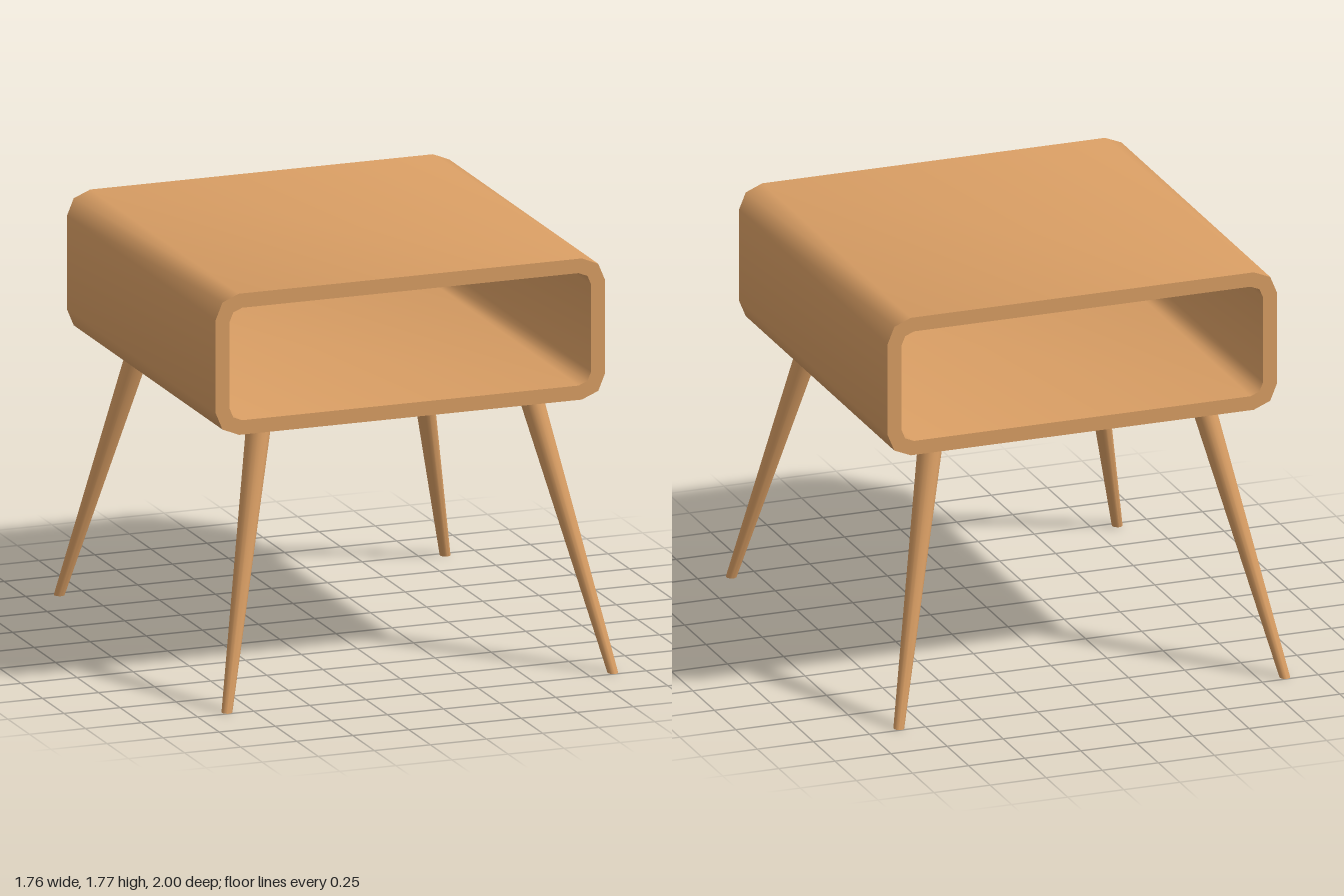
import * as THREE from 'three';
import { toCreasedNormals } from 'three/addons/utils/BufferGeometryUtils.js';

// Rectangle outline with corners rounded in two straight steps
function roundedOutline(w, h, r) {
  const pts = [];
  const corners = [[1, 1], [-1, 1], [-1, -1], [1, -1]];
  corners.forEach(([sx, sy], i) => {
    for (let k = 0; k <= 2; k++) {
      const a = (i + k / 2) * Math.PI / 2;
      pts.push(new THREE.Vector2(
        sx * (w / 2 - r) + r * Math.cos(a),
        sy * (h / 2 - r) + r * Math.sin(a)));
    }
  });
  return pts;
}

export function createModel() {
  const model = new THREE.Group();
  const wood = new THREE.MeshStandardMaterial({ color: 0xd99e64 });
  wood.name = 'warm wood';

  // Open box: a rounded tube running front to back
  const depth = 1.73;
  const section = new THREE.Shape(roundedOutline(1.736, 0.61, 0.104));
  section.holes.push(new THREE.Path(roundedOutline(1.612, 0.486, 0.056).reverse()));
  const shellGeometry = new THREE.ExtrudeGeometry(section, { depth, bevelEnabled: false });
  shellGeometry.translate(0, 1.465, -depth / 2);
  const shell = new THREE.Mesh(toCreasedNormals(shellGeometry, Math.PI / 3), wood);
  shell.name = 'shell';
  model.add(shell);

  // Four tapered legs, splayed by shearing so both ends stay level
  const legHeight = 1.18;
  for (const sx of [-1, 1]) {
    for (const sz of [-1, 1]) {
      const geometry = new THREE.CylinderGeometry(0.055, 0.0235, legHeight, 16);
      geometry.translate(0, legHeight / 2, 0);
      const p = geometry.attributes.position;
      for (let i = 0; i < p.count; i++) {
        const y = p.getY(i);
        p.setX(i, p.getX(i) * 0.95 + sx * (0.86 - 0.222 * y));
        p.setZ(i, p.getZ(i) * 1.06 + sz * (0.975 - 0.256 * y));
      }
      const leg = new THREE.Mesh(toCreasedNormals(geometry, Math.PI / 4), wood);
      leg.name = (sz > 0 ? 'front' : 'back') + (sx > 0 ? 'Left' : 'Right') + 'Leg';
      model.add(leg);
    }
  }
  return model;
}
